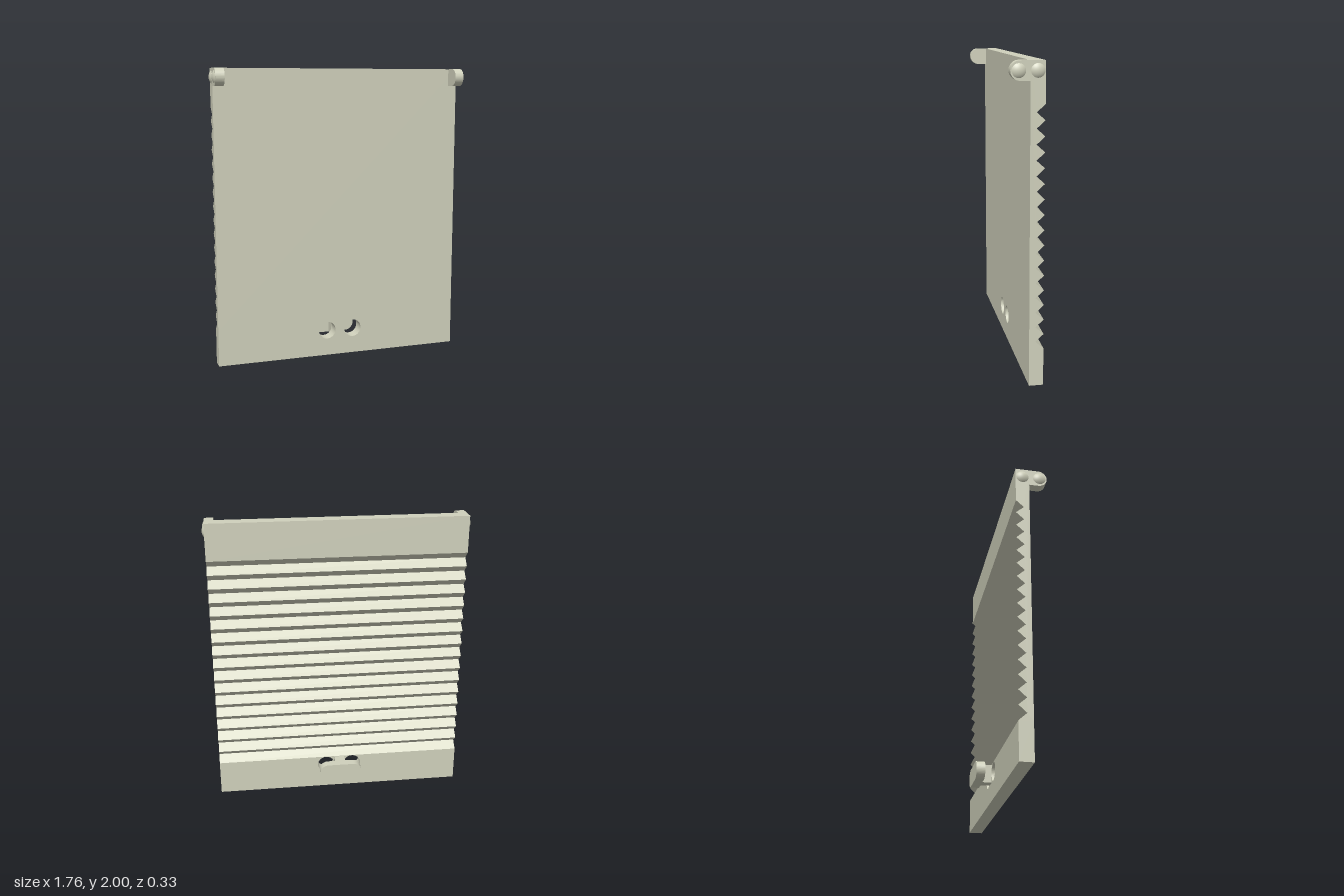
import * as THREE from 'three';

const HALF_W = 0.866, HALF_T = 0.045, END_Z = 0.163;
const RIB_TOP = 1.75, RIB_BOTTOM = 0.243, RIBS = 16, VALLEY_Z = 0.007;
const HOLE_X = 0.094, HOLE_Y = 0.18, HOLE_R = 0.061;

export function createModel() {
  const group = new THREE.Group();
  const material = new THREE.MeshStandardMaterial({ color: 0xd0d1bc });

  const add = (name, geometry, x = 0, y = 0, z = 0) => {
    const mesh = new THREE.Mesh(geometry, material);
    mesh.name = name;
    mesh.position.set(x, y, z);
    group.add(mesh);
    return mesh;
  };
  const extrude = (shape, depth) =>
    new THREE.ExtrudeGeometry(shape, { depth, bevelEnabled: false, curveSegments: 24 });
  // Side profiles are drawn as (-z, y) and swept along +x from x0
  const sweepX = (shape, x0, x1) =>
    extrude(shape, x1 - x0).rotateY(Math.PI / 2).translate(x0, 0, 0);

  // Ribbed panel: flat front, sawtooth back
  const profile = new THREE.Shape();
  profile.moveTo(-HALF_T, RIB_BOTTOM);
  profile.lineTo(HALF_T, RIB_BOTTOM);
  const pitch = (RIB_TOP - RIB_BOTTOM) / RIBS;
  for (let i = 0; i < RIBS; i++) {
    profile.lineTo(-VALLEY_Z, RIB_BOTTOM + (i + 0.5) * pitch);
    profile.lineTo(HALF_T, RIB_BOTTOM + (i + 1) * pitch);
  }
  profile.lineTo(HALF_T, 2);
  profile.lineTo(-HALF_T, 2);
  add('ribbedPanel', sweepX(profile, -HALF_W, HALF_W));

  // Bottom band with two finger holes
  const band = new THREE.Shape();
  band.moveTo(-HALF_W, 0);
  band.lineTo(HALF_W, 0);
  band.lineTo(HALF_W, RIB_BOTTOM);
  band.lineTo(-HALF_W, RIB_BOTTOM);
  for (const s of [-1, 1]) {
    band.holes.push(new THREE.Path().absarc(s * HOLE_X, HOLE_Y, HOLE_R, 0, Math.PI * 2, true));
  }
  add('bottomBand', extrude(band, 2 * HALF_T), 0, 0, -HALF_T);

  // Handle on the back: stem and rounded bar
  const barR = 0.059, barX = 0.149 - barR, barZ = -0.106;
  const bar = new THREE.Shape();
  bar.absarc(barX, HOLE_Y, barR, -Math.PI / 2, Math.PI / 2);
  bar.absarc(-barX, HOLE_Y, barR, Math.PI / 2, Math.PI * 1.5);
  add('handleBar', extrude(bar, END_Z + barZ), 0, 0, -END_Z);
  add('handleStem', new THREE.BoxGeometry(0.072, 2 * barR, -barZ - HALF_T),
    0, HOLE_Y, (barZ - HALF_T) / 2);

  // Hinge lugs with a pair of domed pins on each outer side
  const lugR = 0.058, lugY = 2 - lugR, lugZ = END_Z - lugR;
  const lug = new THREE.Shape();
  lug.moveTo(-HALF_T, 2 - 2 * lugR);
  lug.lineTo(-HALF_T, 2);
  lug.absarc(-lugZ, lugY, lugR, Math.PI / 2, Math.PI * 1.5);
  const domeR = 0.042, domeH = 0.015;
  const sphereR = (domeR ** 2 + domeH ** 2) / (2 * domeH);
  for (const [side, s] of [['left', 1], ['right', -1]]) {
    const inner = s * 0.806, outer = s * HALF_W;
    add(side + 'HingeLug', sweepX(lug, Math.min(inner, outer), Math.max(inner, outer)));
    for (const [name, z] of [['RearPin', 0], ['FrontPin', 0.113]]) {
      const dome = new THREE.SphereGeometry(sphereR, 32, 8, 0, Math.PI * 2, 0, Math.asin(domeR / sphereR));
      dome.translate(0, domeH - sphereR, 0).rotateZ(-s * Math.PI / 2);
      add(side + name, dome, outer, lugY, z);
    }
  }
  return group;
}
